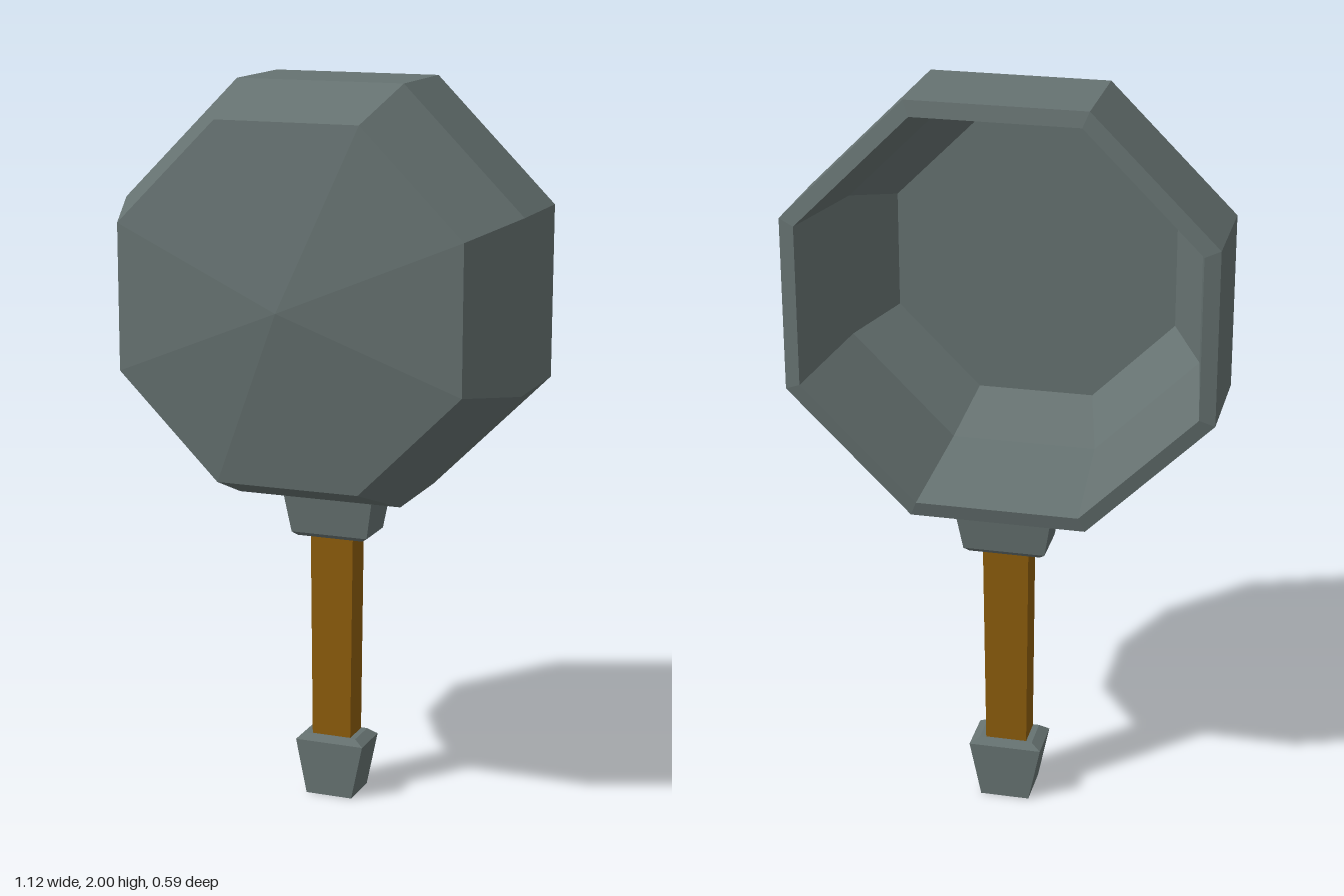
import * as THREE from 'three';

const iron = new THREE.MeshStandardMaterial({ color: 0x667271, flatShading: true });
iron.name = 'iron';
const wood = new THREE.MeshStandardMaterial({ color: 0x8c5c0c, flatShading: true });
wood.name = 'wood';

const HANDLE_Z = -0.148;

// Rectangular bar lofted through sections [y, halfWidth, halfDepth], bottom to top
function loftedBar(name, sections, material) {
  const rows = sections.length - 1;
  const geo = new THREE.BoxGeometry(2, rows, 2, 1, rows, 1);
  const p = geo.attributes.position;
  for (let i = 0; i < p.count; i++) {
    const [y, hx, hz] = sections[Math.round(p.getY(i) + rows / 2)];
    p.setXYZ(i, p.getX(i) * hx, y, p.getZ(i) * hz);
  }
  geo.computeVertexNormals();
  const mesh = new THREE.Mesh(geo, material);
  mesh.name = name;
  mesh.position.z = HANDLE_Z;
  return mesh;
}

export function createModel() {
  const model = new THREE.Group();
  model.name = 'fryingPan';

  // Hollow octagonal bowl: [distance to side, z], from inner floor over the rim to the outer tip
  const profile = [
    [0, 0.18], [0.38, 0.18], [0.47, 0.03], [0.52, -0.295],
    [0.56, -0.286], [0.56, -0.012], [0.475, 0.22], [0, 0.293],
  ].map(([r, z]) => new THREE.Vector2(r / Math.cos(Math.PI / 8), z));
  const bowlGeo = new THREE.LatheGeometry(profile, 8, Math.PI / 8);
  bowlGeo.rotateX(Math.PI / 2);
  const bowl = new THREE.Mesh(bowlGeo, iron);
  bowl.name = 'panBowl';
  bowl.position.y = 1.44;
  model.add(bowl);

  // Socket, wooden grip and end cap
  model.add(
    loftedBar('handleSocket', [
      [0.75, 0.095, 0.058], [0.76, 0.11, 0.065], [0.9, 0.134, 0.081],
    ], iron),
    loftedBar('handleGrip', [[0.14, 0.056, 0.043], [0.77, 0.062, 0.043]], wood),
    loftedBar('handleEndCap', [
      [0, 0.067, 0.063], [0.155, 0.099, 0.063], [0.172, 0.073, 0.048],
    ], iron),
  );
  return model;
}
